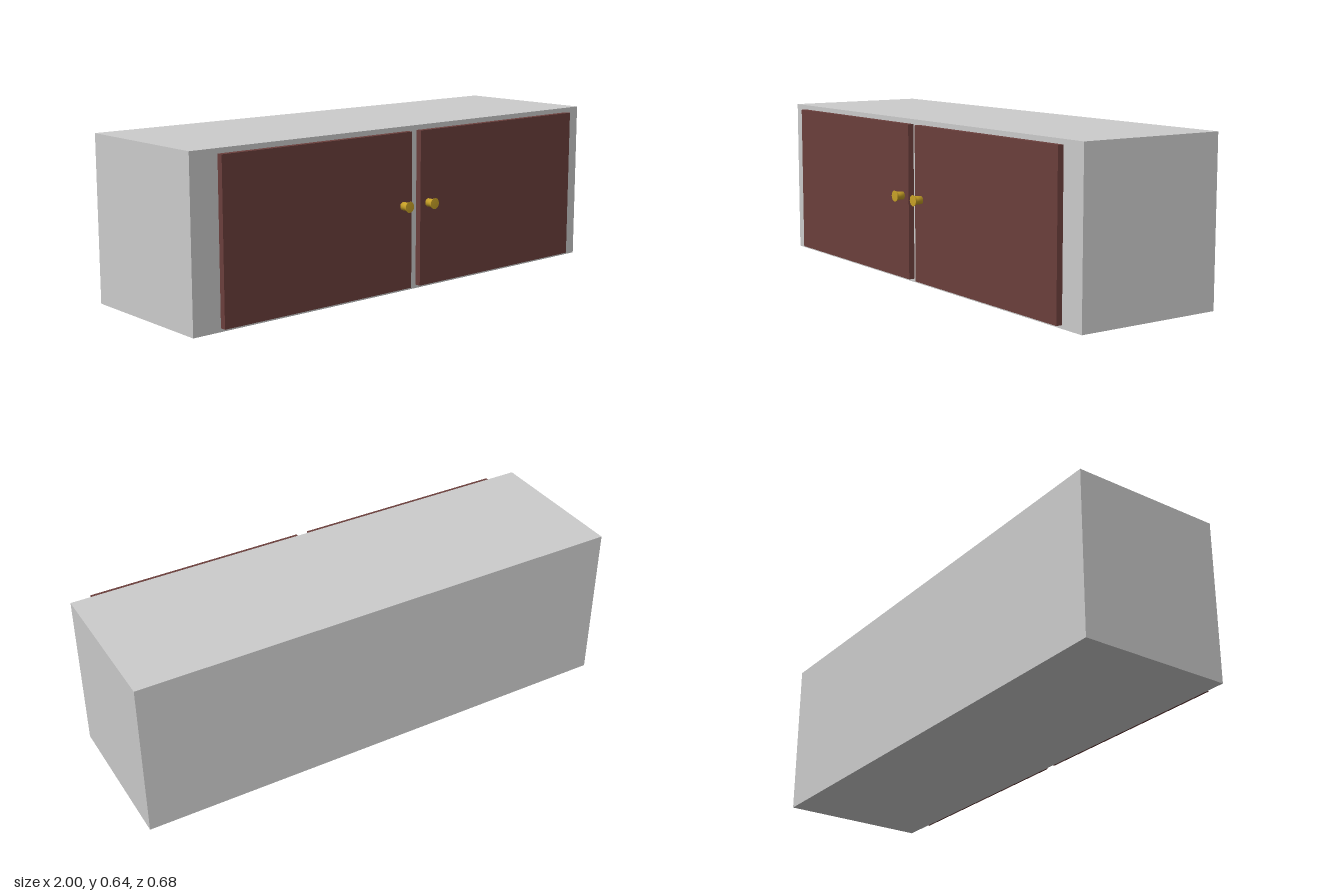
import * as THREE from 'three';

export function createModel() {
  const group = new THREE.Group();
  const grey = new THREE.MeshStandardMaterial({ color: 0xcccccc });
  const wood = new THREE.MeshStandardMaterial({ color: 0x6b3f3c });
  const brass = new THREE.MeshStandardMaterial({ color: 0xc9a227 });

  // Box given by its minimum and maximum corners
  function addBox(name, min, max, material) {
    const size = max.map((v, i) => v - min[i]);
    const mesh = new THREE.Mesh(new THREE.BoxGeometry(...size), material);
    mesh.position.set(...max.map((v, i) => (v + min[i]) / 2));
    mesh.name = name;
    group.add(mesh);
  }

  // Cabinet body
  addBox('cabinetBody', [-1, 0, -0.34], [1, 0.643, 0.267], grey);

  // Knob turned around the z axis: straight stem, flared rim, flat face
  const knobProfile = [[0, 0], [0.016, 0], [0.016, 0.024], [0.0215, 0.037], [0.0215, 0.038], [0, 0.038]]
    .map(([r, h]) => new THREE.Vector2(r, h));
  const knobGeometry = new THREE.LatheGeometry(knobProfile, 32).rotateX(Math.PI / 2);

  // Doors standing just off the front, each with a knob by the middle gap
  const doors = [
    { side: 'right', from: -0.893, to: -0.013, knobX: -0.057, knobY: 0.345 },
    { side: 'left', from: 0.033, to: 0.91, knobX: 0.075, knobY: 0.343 },
  ];
  for (const { side, from, to, knobX, knobY } of doors) {
    addBox(`${side}Door`, [from, 0.018, 0.279], [to, 0.626, 0.303], wood);
    const knob = new THREE.Mesh(knobGeometry, brass);
    knob.name = `${side}Knob`;
    knob.position.set(knobX, knobY, 0.302);
    group.add(knob);
  }
  return group;
}
